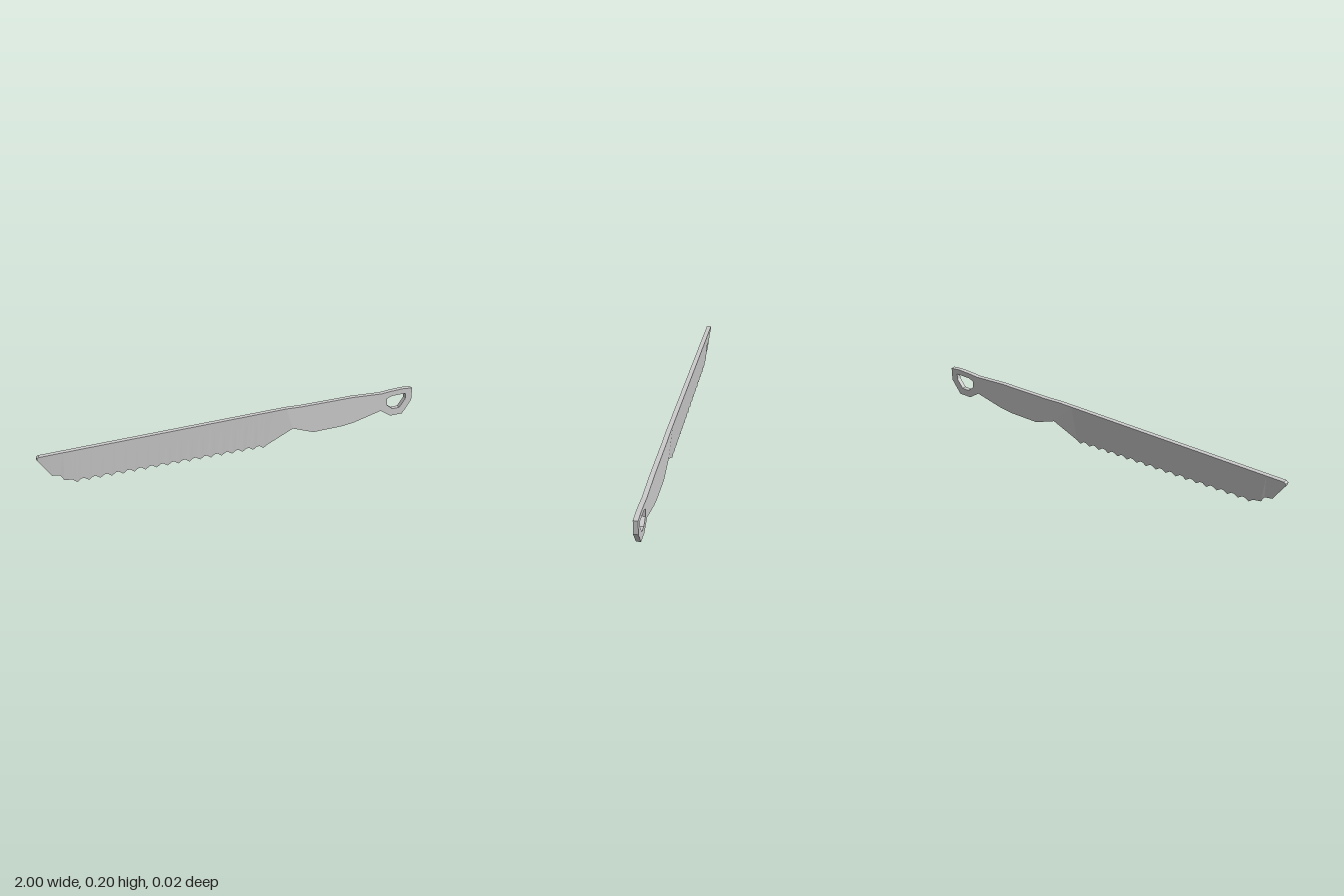
import * as THREE from 'three';

const HALF = 0.0115; // half thickness of the spine and handle
const SPINE_Y = 0.205;

const material = new THREE.MeshStandardMaterial({ color: 0xcccccc, flatShading: true });

// Skins four-cornered cross-sections: { top: [x, y], bottom: [x, y], ht, hb } with half thicknesses
function loft(stations) {
  const rings = stations.map(({ top, bottom, ht, hb }) => [
    [...top, ht], [...top, -ht], [...bottom, -hb], [...bottom, hb],
  ]);
  const positions = [];
  const quad = (a, b, c, d) => positions.push(...a, ...b, ...c, ...a, ...c, ...d);
  quad(...rings[0]);
  for (let i = 0; i + 1 < rings.length; i++) {
    const a = rings[i], b = rings[i + 1];
    for (let k = 0; k < 4; k++) {
      const n = (k + 1) % 4;
      quad(a[k], b[k], b[n], a[n]);
    }
  }
  const geometry = new THREE.BufferGeometry();
  geometry.setAttribute('position', new THREE.Float32BufferAttribute(positions, 3));
  geometry.computeVertexNormals();
  return geometry;
}

// Blade: a wedge, thick at the spine and sharp along the toothed edge
function createBlade() {
  const stations = [];
  const add = (tx, ty, bx, by, hb) =>
    stations.push({ top: [tx, ty], bottom: [bx, by], ht: HALF, hb });

  // Slanted tip with two steps
  add(-1, 0.197, -1, 0.187, 0.01);
  add(-0.99, SPINE_Y, -0.985, 0.165, 0.007);
  add(-0.94, SPINE_Y, -0.935, 0.088, 0.002);
  add(-0.9, SPINE_Y, -0.895, 0.08, 0.001);
  add(-0.875, SPINE_Y, -0.878, 0.051, 0.001);
  add(-0.84, SPINE_Y, -0.838, 0.044, 0.001);

  // Teeth: a sharp point and a shallow gullet each, on a slightly falling line
  const teeth = 18, start = -0.815, end = 0.155;
  const pitch = (end - start) / (teeth - 1);
  for (let i = 0; i < teeth; i++) {
    const x = start + i * pitch;
    const y = 0.025 * (1 - i / (teeth - 1));
    add(x, SPINE_Y, x, y, 0);
    if (i < teeth - 1) {
      add(x + pitch * 0.35, SPINE_Y, x + pitch * 0.35, y + 0.015, 0.0015);
      add(x + pitch * 0.6, SPINE_Y, x + pitch * 0.6, y + 0.016, 0.0015);
    }
  }

  // Neck swelling to the handle thickness
  add(0.2, SPINE_Y, 0.175, 0.015, 0.0015);
  add(0.275, SPINE_Y, 0.313, 0.085, HALF);
  return new THREE.Mesh(loft(stations), material);
}

// Handle: flat plate with a grip belly and a hanging hole
function createHandle() {
  const points = (list) => list.map(([x, y]) => new THREE.Vector2(x, y));
  const shape = new THREE.Shape(points([
    [0.275, 0.205], [0.313, 0.085], [0.43, 0.04], [0.6, 0.04], [0.665, 0.048],
    [0.82, 0.085], [0.88, 0.044], [0.95, 0.044], [1, 0.115], [1, 0.184],
    [0.945, 0.19], [0.87, 0.188], [0.82, 0.184], [0.65, 0.196], [0.36, 0.2],
  ]));
  shape.holes.push(new THREE.Path(points([
    [0.854, 0.15], [0.88, 0.16], [0.963, 0.16], [0.963, 0.128],
    [0.93, 0.083], [0.89, 0.083], [0.854, 0.112],
  ])));
  const geometry = new THREE.ExtrudeGeometry(shape, { depth: HALF * 2, bevelEnabled: false });
  geometry.translate(0, 0, -HALF);
  return new THREE.Mesh(geometry, material);
}

export function createModel() {
  const group = new THREE.Group();
  group.name = 'serratedKnife';
  const blade = createBlade();
  blade.name = 'blade';
  const handle = createHandle();
  handle.name = 'handle';
  group.add(blade, handle);
  return group;
}
